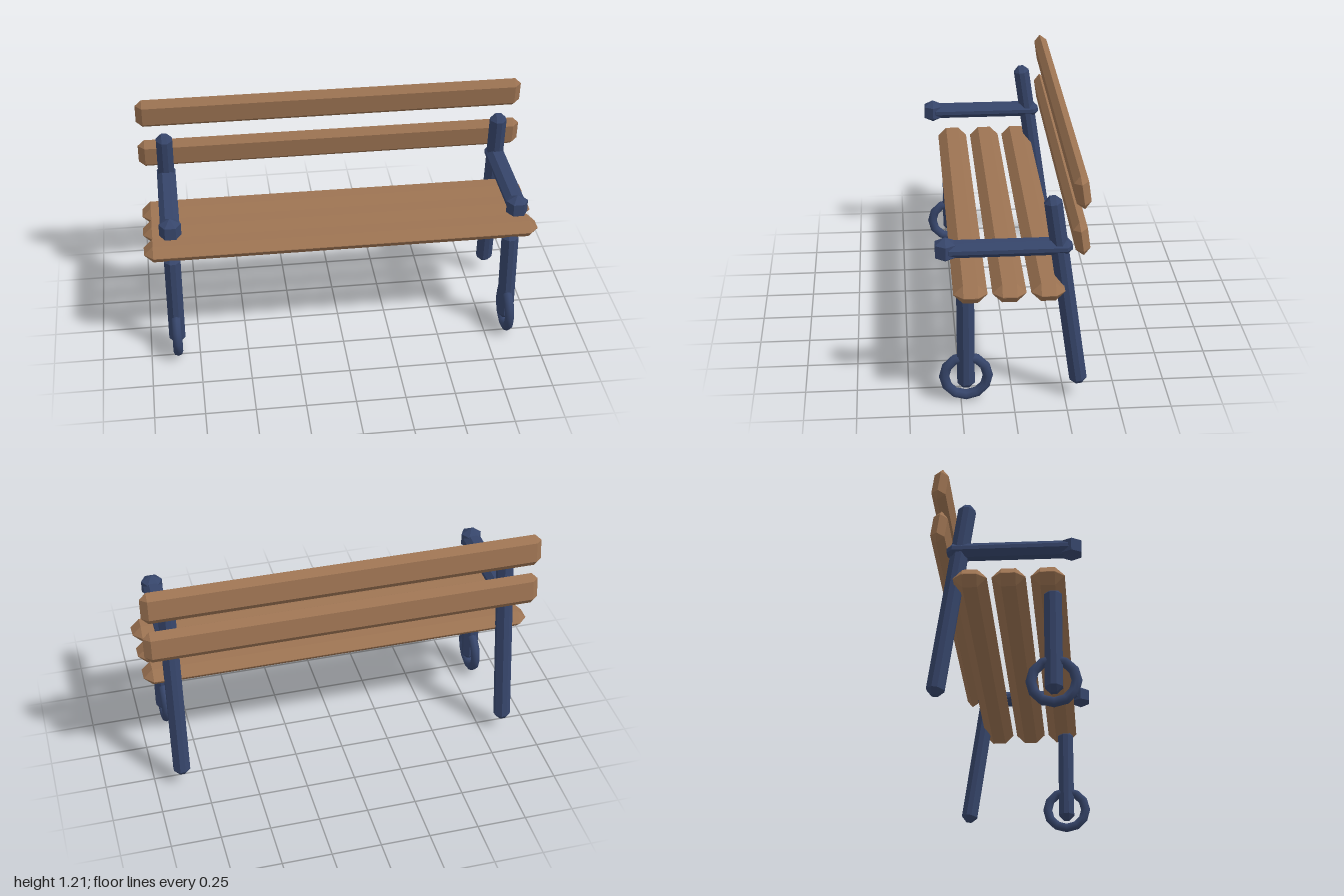
import * as THREE from 'three';
import { ConvexGeometry } from 'three/addons/geometries/ConvexGeometry.js';

const wood = new THREE.MeshStandardMaterial({ color: 0x9c7352, flatShading: true });
const iron = new THREE.MeshStandardMaterial({ color: 0x36456a, flatShading: true });
const smoothIron = new THREE.MeshStandardMaterial({ color: 0x36456a });

// Box with every edge and corner cut at 45 degrees by c
function chamferedBox(w, h, d, c) {
  const points = [];
  for (const sx of [-0.5, 0.5]) for (const sy of [-0.5, 0.5]) for (const sz of [-0.5, 0.5]) {
    const x = sx * w, y = sy * h, z = sz * d;
    const ix = sx * (w - 2 * c), iy = sy * (h - 2 * c), iz = sz * (d - 2 * c);
    points.push(new THREE.Vector3(x, iy, iz), new THREE.Vector3(ix, y, iz), new THREE.Vector3(ix, iy, z));
  }
  return new ConvexGeometry(points);
}

function addPart(parent, name, geometry, material, x, y, z, tilt = 0) {
  const mesh = new THREE.Mesh(geometry, material);
  mesh.name = name;
  mesh.position.set(x, y, z);
  mesh.rotation.x = tilt;
  parent.add(mesh);
  return mesh;
}

export function createModel() {
  const bench = new THREE.Group();
  bench.name = 'bench';
  const lean = THREE.MathUtils.degToRad(8.1);

  // Seat: three thick planks
  const seatPlank = chamferedBox(2, 0.093, 0.158, 0.045);
  for (const z of [0.205, 0.024, -0.156]) addPart(bench, 'seatSlat', seatPlank, wood, 0, 0.62, z);

  // Backrest: two leaning planks
  const backPlank = chamferedBox(2, 0.167, 0.068, 0.0335);
  for (const y of [1.125, 0.893]) addPart(bench, 'backSlat', backPlank, wood, 0, y, -0.303, lean);

  // Iron frames, one at each end
  const frontLeg = chamferedBox(0.083, 0.525, 0.083, 0.028);
  const backLeg = chamferedBox(0.083, 1.0, 0.083, 0.028);
  const armrest = chamferedBox(0.096, 0.073, 0.6, 0.027);
  const knob = new THREE.SphereGeometry(0.0625, 6, 3);
  const ring = new THREE.TorusGeometry(0.105, 0.025, 8, 12).rotateY(Math.PI / 2);
  for (const side of [1, -1]) {
    const frame = new THREE.Group();
    frame.name = side > 0 ? 'leftFrame' : 'rightFrame';
    frame.position.x = side * 0.863;
    addPart(frame, 'frontLeg', frontLeg, iron, 0, 0.333, 0.225);
    addPart(frame, 'backLeg', backLeg, iron, 0, 0.567, -0.248, lean);
    addPart(frame, 'armrest', armrest, iron, 0, 0.81, 0.026);
    addPart(frame, 'armrestKnob', knob, iron, 0, 0.81, 0.315);
    addPart(frame, 'footRing', ring, smoothIron, 0, 0.13, 0.225);
    bench.add(frame);
  }
  return bench;
}
